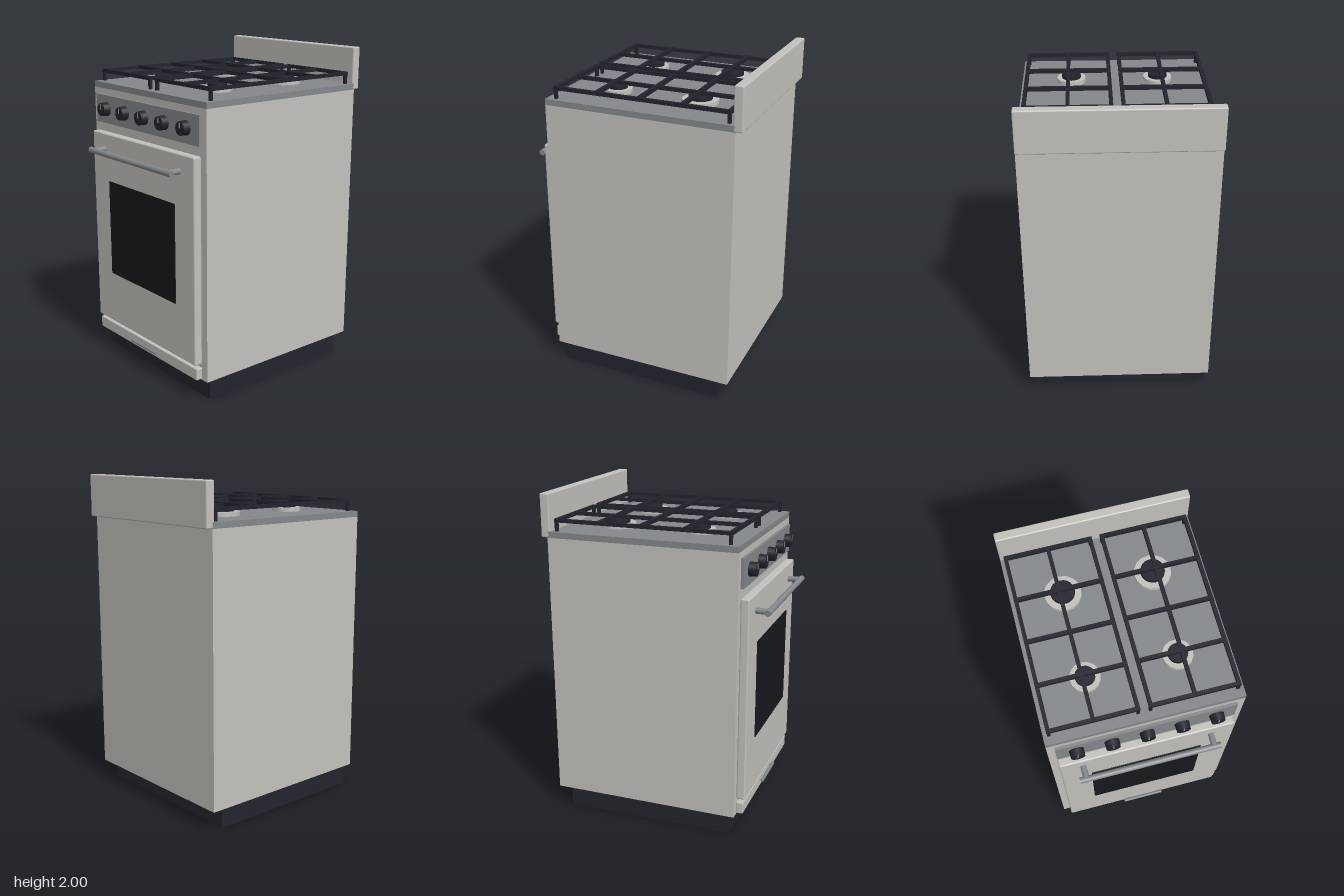
import * as THREE from 'three';
import { RoundedBoxGeometry } from 'three/addons/geometries/RoundedBoxGeometry.js';

function mat(name, color) {
  const m = new THREE.MeshStandardMaterial({ color });
  m.name = name;
  return m;
}

export function createModel() {
  const enamel = mat('warm grey enamel', 0xc3c1bc);
  const steel = mat('steel grey', 0x84888b);
  const iron = mat('dark iron', 0x23232d);
  const glass = mat('black glass', 0x17181d);

  const root = new THREE.Group();
  root.name = 'stove';

  const add = (parent, name, geo, material, x = 0, y = 0, z = 0) => {
    const m = new THREE.Mesh(geo, material);
    m.name = name;
    m.position.set(x, y, z);
    parent.add(m);
    return m;
  };
  // box given by its limits on each axis; r rounds the edges
  const box = (parent, name, material, [x0, x1], [y0, y1], [z0, z1], r = 0) => {
    const s = [x1 - x0, y1 - y0, z1 - z0];
    const geo = r ? new RoundedBoxGeometry(...s, 2, r) : new THREE.BoxGeometry(...s);
    return add(parent, name, geo, material, (x0 + x1) / 2, (y0 + y1) / 2, (z0 + z1) / 2);
  };
  // cylinder along the x, y or z axis
  const rod = (parent, name, material, axis, r, len, x, y, z, sides = 16, r2 = r) => {
    const geo = new THREE.CylinderGeometry(r2, r, len, sides);
    if (axis === 'x') geo.rotateZ(Math.PI / 2);
    if (axis === 'z') geo.rotateX(Math.PI / 2);
    return add(parent, name, geo, material, x, y, z);
  };
  const group = (name) => {
    const g = new THREE.Group();
    g.name = name;
    root.add(g);
    return g;
  };

  // Cabinet
  box(root, 'plinth', iron, [-0.495, 0.558], [0, 0.126], [-0.545, 0.545]);
  box(root, 'body', enamel, [-0.53, 0.635], [0.125, 1.742], [-0.565, 0.565]);
  box(root, 'cooktop', steel, [-0.53, 0.635], [1.742, 1.778], [-0.565, 0.565]);
  box(root, 'backsplash', enamel, [0.62, 0.676], [1.742, 2], [-0.565, 0.565], 0.008);

  // Oven door with window and bar handle
  const door = group('ovenDoor');
  box(door, 'doorPanel', enamel, [-0.584, -0.53], [0.228, 1.475], [-0.52, 0.52], 0.01);
  box(door, 'window', glass, [-0.59, -0.583], [0.567, 1.175], [-0.34, 0.34]);
  rod(door, 'handleBar', steel, 'z', 0.0185, 0.846, -0.663, 1.375, 0);
  for (const z of [-0.384, 0.384]) {
    rod(door, 'handleStem', steel, 'x', 0.018, 0.08, -0.622, 1.375, z);
  }

  // Storage drawer
  const drawer = group('drawer');
  box(drawer, 'drawerPanel', enamel, [-0.573, -0.53], [0.133, 0.206], [-0.52, 0.52], 0.006);
  rod(drawer, 'drawerHandle', steel, 'z', 0.01, 0.27, -0.587, 0.17, 0, 10);
  for (const z of [-0.11, 0.11]) {
    rod(drawer, 'drawerStem', steel, 'x', 0.007, 0.016, -0.579, 0.17, z, 8);
  }

  // Control panel and five knobs
  const controls = group('controls');
  box(controls, 'controlPanel', steel, [-0.548, -0.53], [1.53, 1.705], [-0.52, 0.52]);
  for (let i = -2; i <= 2; i++) {
    const z = i * 0.202;
    rod(controls, 'knob', iron, 'x', 0.043, 0.044, -0.57, 1.62, z, 20, 0.04);
    box(controls, 'knobPointer', steel, [-0.596, -0.591], [1.622, 1.655], [z - 0.004, z + 0.004]);
  }

  // Burners: wider pair towards the backsplash
  const burners = group('burners');
  for (const z of [-0.264, 0.264]) {
    for (const [x, r, cap] of [[-0.209, 0.087, 0.057], [0.315, 0.107, 0.07]]) {
      rod(burners, 'burnerBase', enamel, 'y', r, 0.026, x, 1.79, z, 16);
      rod(burners, 'burnerCap', iron, 'y', cap, 0.022, x, 1.813, z, 20);
    }
  }

  // Cast grates: frame, cross bars and corner legs
  const w = 0.011;
  const bar = [1.831, 1.852];
  const X = [-0.485, 0.6];
  for (const side of [-1, 1]) {
    const g = group(side < 0 ? 'rightGrate' : 'leftGrate');
    const c = side * 0.283, h = 0.259;
    for (const z of [c - h + w, c, c + h - w]) {
      box(g, 'longBar', iron, X, bar, [z - w, z + w]);
    }
    for (const x of [X[0] + w, X[1] - w]) {
      box(g, 'endBar', iron, [x - w, x + w], bar, [c - h, c + h]);
      for (const z of [c - h + w, c + h - w]) {
        box(g, 'leg', iron, [x - 0.009, x + 0.009], [1.776, 1.835], [z - 0.009, z + 0.009]);
      }
    }
    for (const x of [-0.209, 0.053, 0.315]) {
      box(g, 'crossBar', iron, [x - w, x + w], [1.833, 1.856], [c - h, c + h]);
    }
  }
  return root;
}
